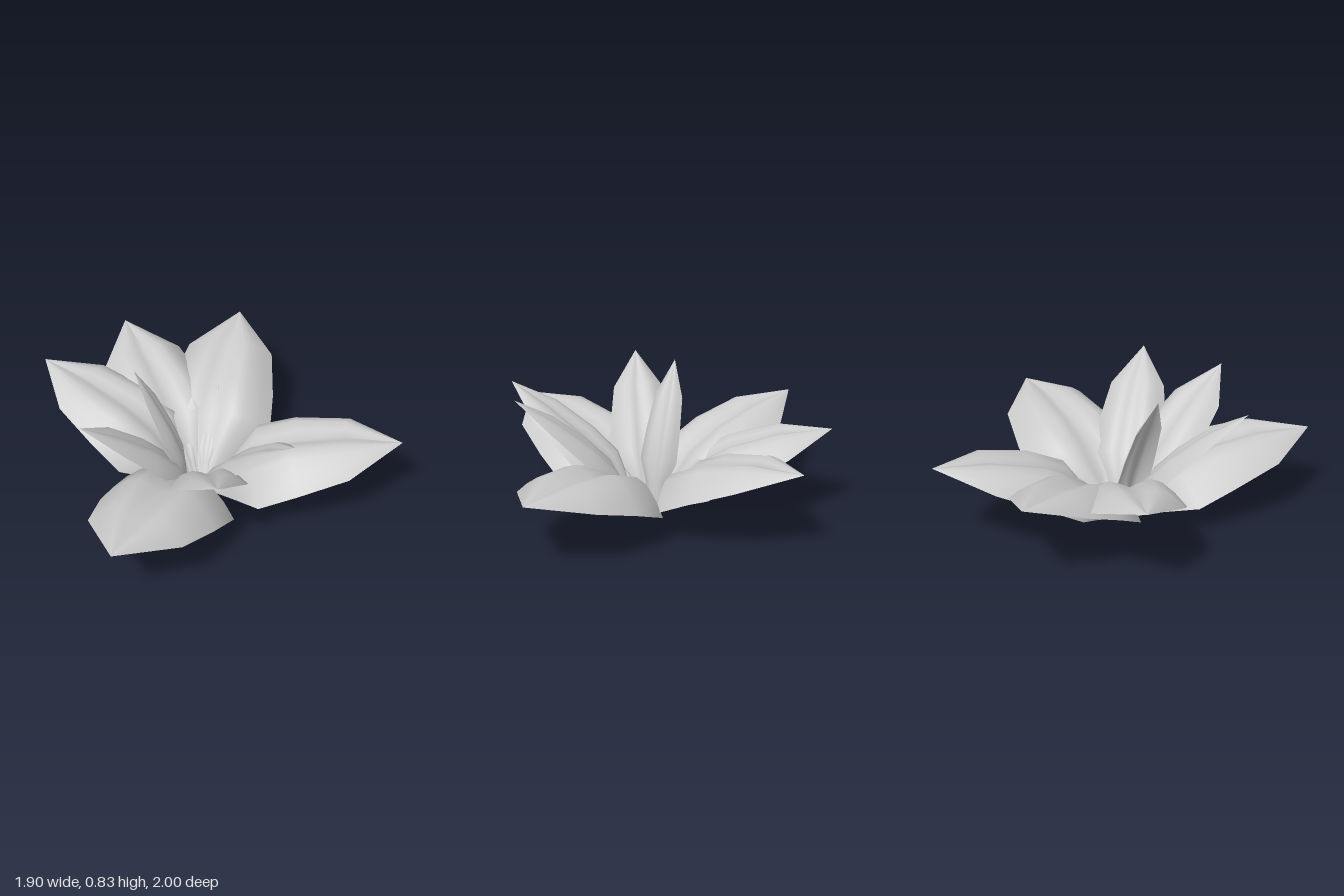
import * as THREE from 'three';

const BASE = new THREE.Vector3(-0.15, 0, 0.04); // middle of the rosette
const RING = 0.07; // radius of the open ring where the leaves start
const FOOT = 0.045; // half width of a leaf at the ring
const LIFT = 0.2; // how far the edges rise with the arch

// Rows along a leaf: [position, width, arch]
const ROWS = [[0, 0, 0], [0.15, 0.56, 0.55], [0.3, 1, 1], [0.5, 0.93, 1], [0.75, 0.75, 0.68], [1, 0, 0]];
// Columns across a leaf: [side, arch], with a valley along the midrib
const HALF = [[1, 0], [0.8, 0.48], [0.58, 0.86], [0.38, 1], [0.18, 0.9]];
const COLS = [...HALF.map(([s, a]) => [-s, a]), [0, 0.74], ...HALF.slice().reverse()];

// An arched leaf from the ring to its tip, width and arch given at the widest row
function leafGeometry(tip, width, arch) {
  const out = new THREE.Vector3(tip.x - BASE.x, 0, tip.z - BASE.z).normalize();
  const start = BASE.clone().addScaledVector(out, RING);
  const chord = tip.clone().sub(start);
  const side = new THREE.Vector3(-out.z, 0, out.x);
  const normal = chord.clone().cross(side).normalize().negate();
  if (normal.y < 0) normal.negate();

  const pos = [], index = [];
  const n = COLS.length;
  ROWS.forEach(([t, w, h], r) => {
    const half = r === 0 ? FOOT : w * width;
    COLS.forEach(([s, a], c) => {
      const p = start.clone().addScaledVector(chord, t)
        .addScaledVector(side, s * half)
        .addScaledVector(normal, arch * h * (LIFT + (1 - LIFT) * a));
      pos.push(p.x, p.y, p.z);
      if (r > 0 && c > 0) {
        const i = r * n + c;
        index.push(i - n - 1, i - 1, i - n);
        if (r < ROWS.length - 1) index.push(i - n, i - 1, i);
      }
    });
  });

  const g = new THREE.BufferGeometry();
  g.setAttribute('position', new THREE.Float32BufferAttribute(pos, 3));
  g.setIndex(index);
  g.computeVertexNormals();
  return g;
}

// Leaves by tier: tip x, y, z, half width, arch
const TIERS = {
  outerLeaf: [
    [0.95, 0.43, 0.40, 0.365, 0.23],
    [0.30, 0.51, -0.97, 0.345, 0.21],
    [-0.42, 0.52, -1.0, 0.325, 0.20],
    [-0.95, 0.55, -0.64, 0.325, 0.20],
    [-0.79, 0.43, 1.0, 0.37, 0.22],
  ],
  innerLeaf: [
    [-0.21, 0.70, 0.90, 0.235, 0.12],
    [0.24, 0.75, 0.71, 0.215, 0.11],
    [-0.85, 0.75, 0.32, 0.20, 0.11],
    [-0.50, 0.83, -0.03, 0.12, 0.065],
  ],
  smallLeaf: [
    [0.14, 0.28, 0.34, 0.08, 0.05],
    [0.05, 0.40, -0.40, 0.08, 0.05],
    [-0.27, 0.40, -0.44, 0.08, 0.05],
    [-0.51, 0.40, -0.28, 0.08, 0.05],
    [-0.27, 0.25, 0.30, 0.07, 0.04],
    [-0.01, 0.35, 0.36, 0.07, 0.04],
  ],
};

export function createModel() {
  const group = new THREE.Group();
  group.name = 'leafRosette';
  const material = new THREE.MeshStandardMaterial({ color: 0xcccccc, side: THREE.DoubleSide });
  for (const [name, leaves] of Object.entries(TIERS)) {
    leaves.forEach(([x, y, z, width, arch], i) => {
      const leaf = new THREE.Mesh(leafGeometry(new THREE.Vector3(x, y, z), width, arch), material);
      leaf.name = name + (i + 1);
      group.add(leaf);
    });
  }
  return group;
}
